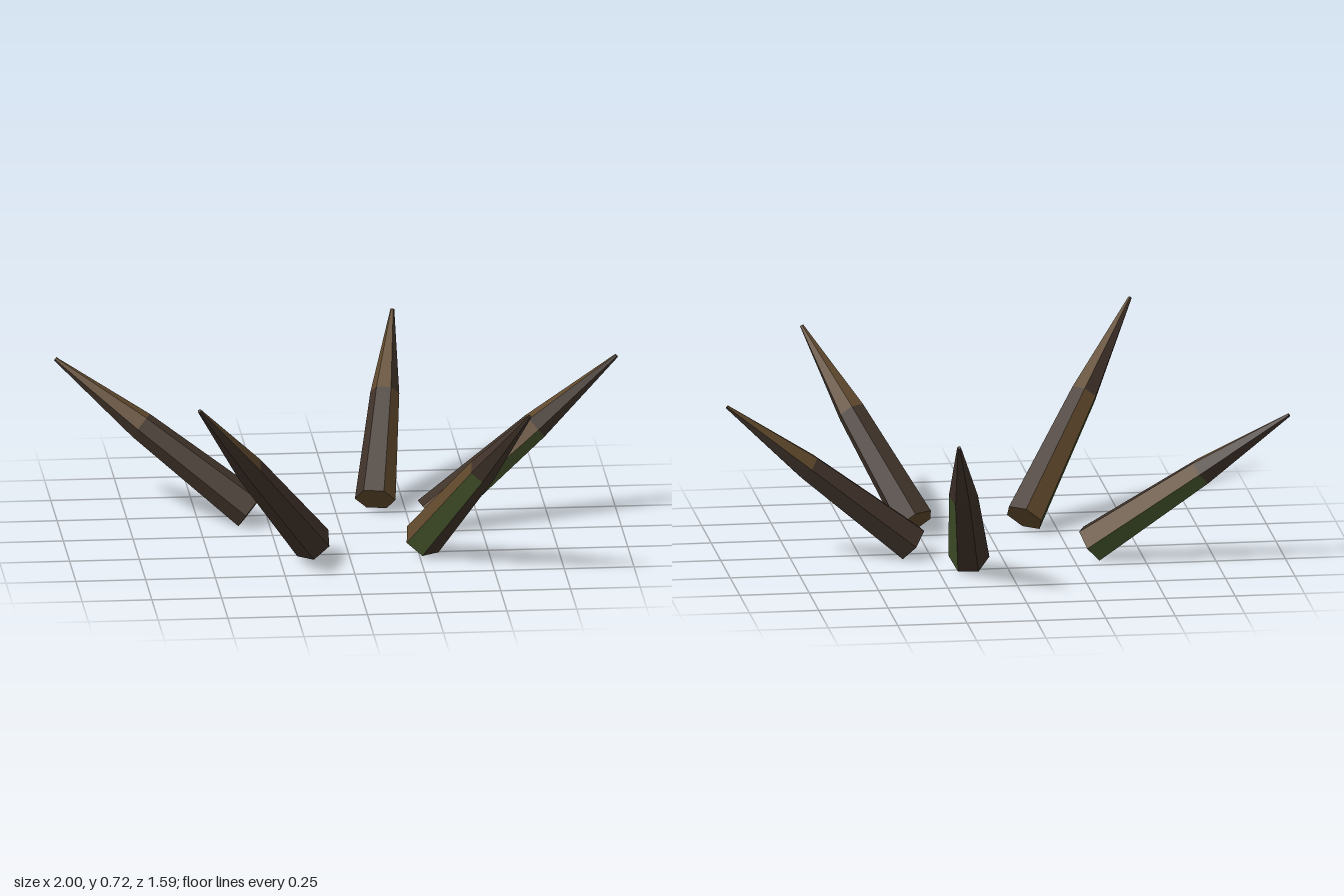
import * as THREE from 'three';

const dark = new THREE.MeshStandardMaterial({ color: 0x40332a });
dark.name = 'darkBark';
const tan = new THREE.MeshStandardMaterial({ color: 0x60492d });
tan.name = 'lightBark';
const moss = new THREE.MeshStandardMaterial({ color: 0x47562d });
moss.name = 'moss';
const palette = [dark, tan, moss];

// Side colours run from the upward face, round past the mossy side
const SHAFT_SIDES = [0, 1, 2, 0, 0, 0];
const TIP_SIDES = [1, 0, 0, 0, 0, 1];

// Hexagonal tapered section with one palette entry per side, plus a cap colour
function section(name, rTop, rBottom, height, sides, cap) {
  const geo = new THREE.CylinderGeometry(rTop, rBottom, height, 6, 1, false, -Math.PI / 6);
  geo.clearGroups();
  sides.forEach((c, i) => geo.addGroup(i * 6, 6, c));
  geo.addGroup(36, 36, cap);
  const flat = geo.toNonIndexed();
  flat.computeVertexNormals();
  flat.translate(0, height / 2, 0);
  const mesh = new THREE.Mesh(flat, palette);
  mesh.name = name;
  return mesh;
}

// One spike leaning from its base centre to its tip
function spike(base, tip) {
  const from = new THREE.Vector3(...base);
  const dir = new THREE.Vector3(...tip).sub(from);
  const length = dir.length();
  dir.normalize();
  const up = new THREE.Vector3(0, 1, 0).addScaledVector(dir, -dir.y).normalize();
  const side = new THREE.Vector3().crossVectors(dir, up);

  const group = new THREE.Group();
  const shaft = section('spikeShaft', 0.052, 0.073, length * 0.56, SHAFT_SIDES, 1);
  const point = section('spikeTip', 0.007, 0.052, length * 0.44, TIP_SIDES, 0);
  point.position.y = length * 0.56;
  group.add(shaft, point);
  group.quaternion.setFromRotationMatrix(new THREE.Matrix4().makeBasis(side, dir, up));
  group.position.copy(from);
  return group;
}

export function createModel() {
  const model = new THREE.Group();
  model.name = 'spikeRing';
  const spikes = {
    leftSpike: [[0.32, 0.05, -0.03], [0.995, 0.6, -0.13]],
    backSpike: [[0.14, 0.05, -0.25], [0.25, 0.593, -0.79]],
    rightSpike: [[-0.315, 0.053, -0.145], [-0.995, 0.565, -0.382]],
    frontRightSpike: [[-0.13, 0.05, 0.265], [-0.583, 0.712, 0.787]],
    frontLeftSpike: [[0.265, 0.05, 0.255], [0.602, 0.654, 0.77]],
  };
  for (const [name, [base, tip]] of Object.entries(spikes)) {
    const s = spike(base, tip);
    s.name = name;
    model.add(s);
  }
  return model;
}
